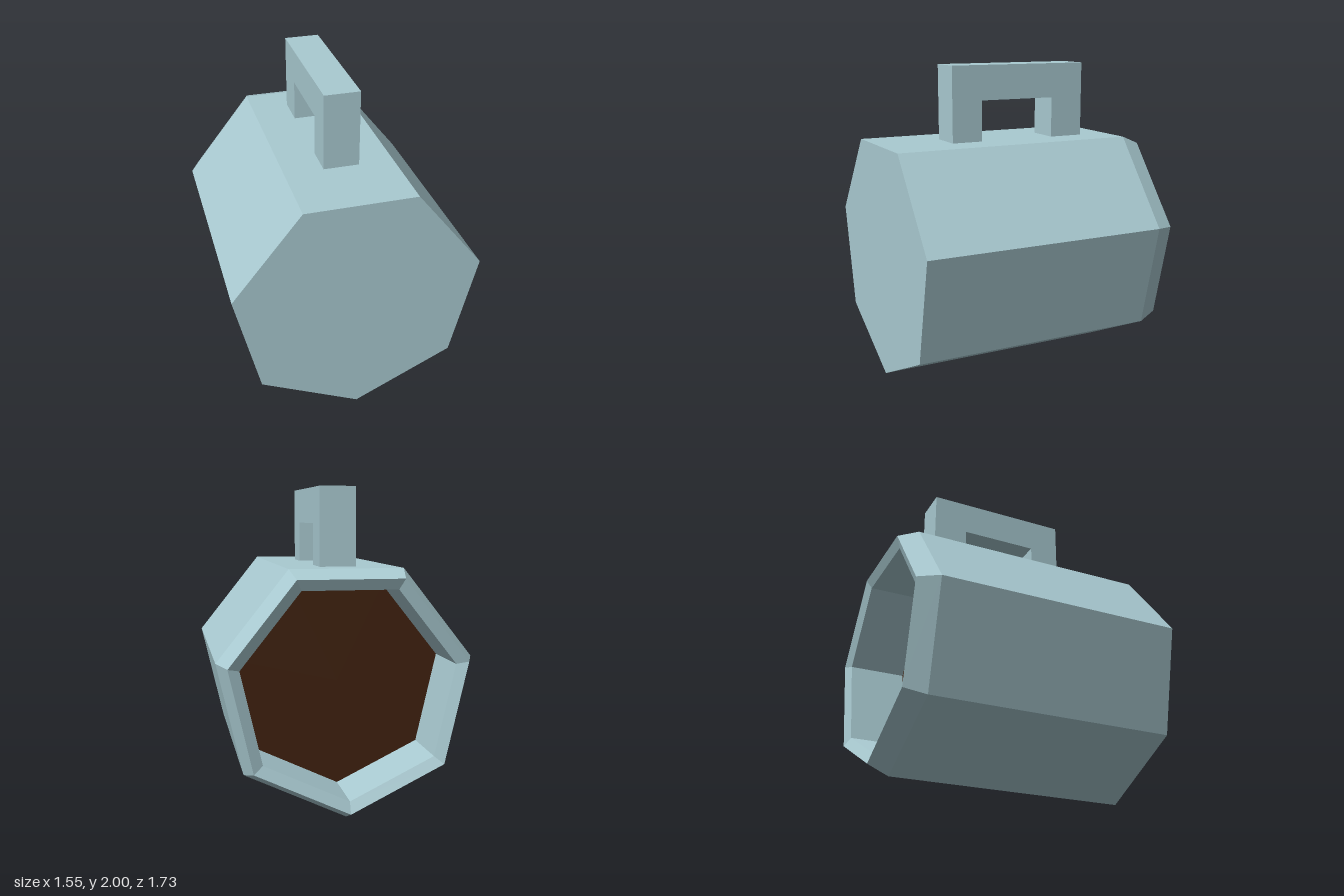
import * as THREE from 'three';

const SIDES = 7;
const AXIS_Y = 0.797; // height of the cup's horizontal axis

function faceted(geometry) {
  const flat = geometry.toNonIndexed();
  flat.computeVertexNormals();
  return flat;
}

export function createModel() {
  const model = new THREE.Group();
  model.name = 'mug';

  const ceramic = new THREE.MeshStandardMaterial({ color: 0xa9cad1 });
  ceramic.name = 'pale blue ceramic';
  const coffee = new THREE.MeshStandardMaterial({ color: 0x3f210f });
  coffee.name = 'dark coffee';

  const add = (name, geometry, material) => {
    const mesh = new THREE.Mesh(geometry, material);
    mesh.name = name;
    model.add(mesh);
    return mesh;
  };

  // Seven-sided cup lying on its side: inner wall, bevelled rim, outer wall, closed base
  const profile = [
    [0.665, -0.45], [0.665, -0.835], [0.737, -0.865],
    [0.797, -0.73], [0.797, 0.865], [0, 0.865],
  ].map(([r, z]) => new THREE.Vector2(r, z));
  const cup = new THREE.LatheGeometry(profile, SIDES).rotateX(Math.PI / 2);
  add('cup', faceted(cup), ceramic).position.y = AXIS_Y;

  // Drink surface inside the opening, facing the rim
  const surface = new THREE.CircleGeometry(0.665, SIDES, -Math.PI / 2).rotateY(Math.PI);
  add('drinkSurface', surface, coffee).position.set(0, AXIS_Y, -0.46);

  // Square-section handle, drawn in (z, y) and extruded across x
  const arch = new THREE.Shape([
    [0.415, 1.51], [0.21, 1.51], [0.21, 1.777], [-0.302, 1.777],
    [-0.302, 1.51], [-0.53, 1.51], [-0.53, 2], [0.415, 2],
  ].map(([z, y]) => new THREE.Vector2(-z, y)));
  const handle = new THREE.ExtrudeGeometry(arch, { depth: 0.225, bevelEnabled: false });
  handle.rotateY(Math.PI / 2);
  add('handle', handle, ceramic).position.x = -0.1;

  return model;
}
